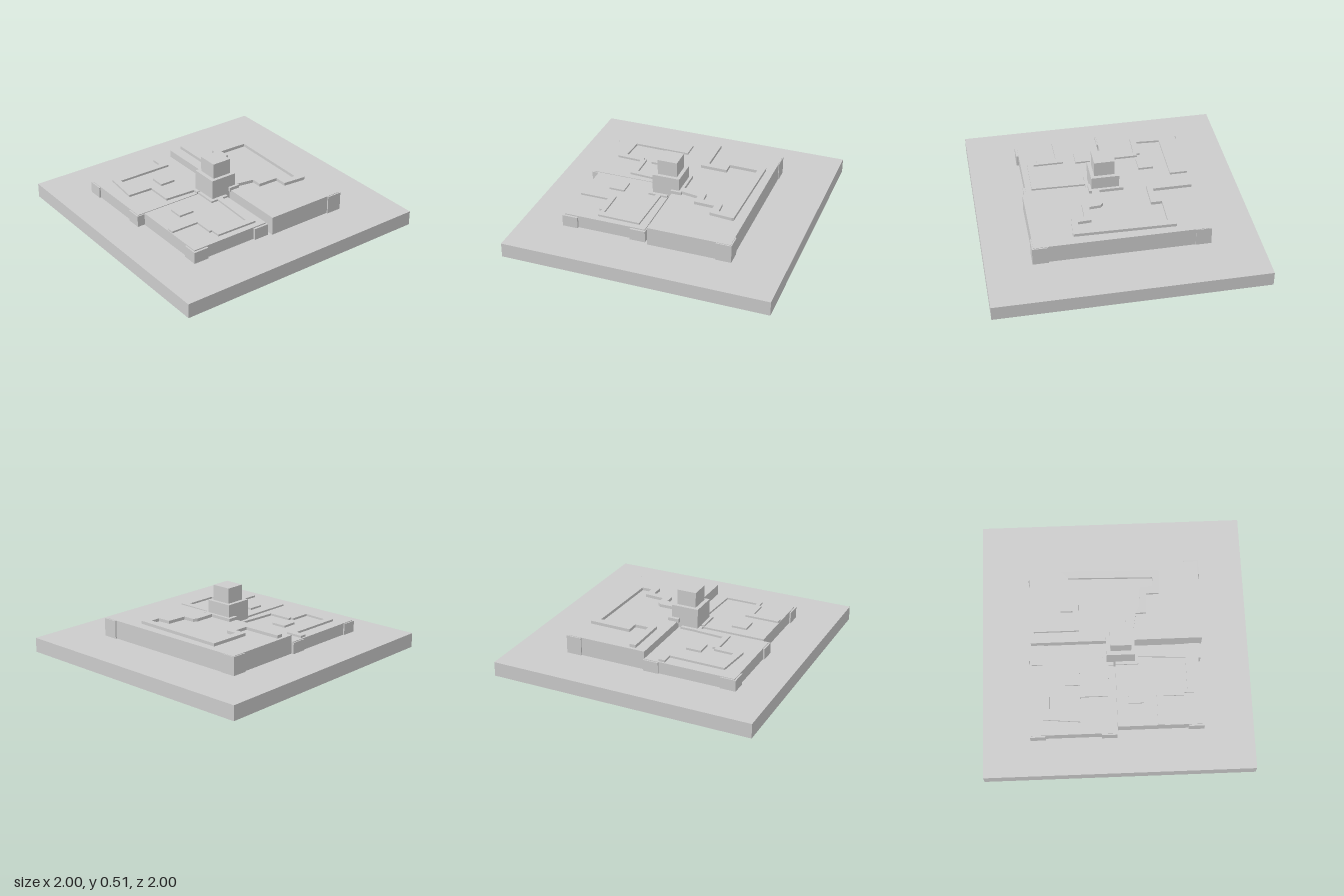
import * as THREE from 'three';

export function createModel() {
  const model = new THREE.Group();
  const material = new THREE.MeshStandardMaterial({ color: 0xcccccc, flatShading: true });

  // Box given by its limits on each axis
  function box(name, x0, x1, y0, y1, z0, z1) {
    const mesh = new THREE.Mesh(new THREE.BoxGeometry(x1 - x0, y1 - y0, z1 - z0), material);
    mesh.position.set((x0 + x1) / 2, (y0 + y1) / 2, (z0 + z1) / 2);
    mesh.name = name;
    model.add(mesh);
  }

  // Flat raised band from an outline of [x, z] points
  function band(name, y0, y1, outline) {
    const shape = new THREE.Shape(outline.map(([x, z]) => new THREE.Vector2(x, z)));
    const geometry = new THREE.ExtrudeGeometry(shape, { depth: y1 - y0, bevelEnabled: false });
    geometry.rotateX(Math.PI / 2).translate(0, y1, 0);
    const mesh = new THREE.Mesh(geometry, material);
    mesh.name = name;
    model.add(mesh);
  }

  // Square ground slab
  box('baseSlab', -1, 1, 0.03, 0.14, -1, 1);

  // Three platforms; the front two reach through the slab
  box('backPlatform', -0.63, 0.65, 0.1, 0.28, -0.6, 0.02);
  box('frontRightPlatform', -0.64, -0.02, 0, 0.23, 0.025, 0.72);
  box('frontLeftPlatform', -0.005, 0.615, 0, 0.236, 0.052, 0.675);

  // Corner posts: [x, z, bottom, top]
  const corners = [
    [-0.64, -0.605, 0.1, 0.277], [0.545, -0.61, 0.1, 0.277],
    [-0.65, 0.02, 0.015, 0.225], [-0.65, 0.615, 0.015, 0.225], [-0.125, 0.615, 0.015, 0.225],
    [0.517, 0.045, 0.015, 0.228], [0.517, 0.57, 0.015, 0.228],
  ];
  for (const [x, z, y0, y1] of corners) box('cornerPost', x, x + 0.115, y0, y1, z, z + 0.117);

  // Angular raised paths
  band('backPath', 0.27, 0.303, [
    [-0.605, -0.06], [-0.605, -0.11], [-0.31, -0.11], [-0.31, -0.217], [-0.4, -0.217],
    [-0.395, -0.54], [0.35, -0.525], [0.355, -0.51], [0.34, -0.34], [0.245, -0.34],
    [0.24, -0.185], [0.162, -0.185], [0.137, -0.04], [0.085, -0.04], [0.085, -0.21],
    [0.105, -0.235], [0.19, -0.24], [0.2, -0.39], [0.3, -0.395], [0.3, -0.47],
    [-0.34, -0.485], [-0.345, -0.267], [-0.263, -0.267], [-0.268, -0.06],
  ]);
  band('frontRightPath', 0.22, 0.246, [
    [-0.627, 0.13], [-0.495, 0.13], [-0.5, 0.56], [-0.32, 0.57], [-0.317, 0.42],
    [-0.29, 0.42], [-0.29, 0.395], [-0.113, 0.395], [-0.1, 0.18], [-0.055, 0.18],
    [-0.07, 0.44], [-0.27, 0.44], [-0.277, 0.63], [-0.55, 0.605], [-0.545, 0.18], [-0.627, 0.18],
  ]);
  band('frontLeftPath', 0.22, 0.25, [
    [0.14, 0.1], [0.57, 0.112], [0.565, 0.435], [0.49, 0.435], [0.49, 0.455], [0.34, 0.455],
    [0.34, 0.67], [0.29, 0.67], [0.29, 0.405], [0.518, 0.405], [0.518, 0.16], [0.14, 0.142],
  ]);

  // Small square studs
  box('frontRightStud', -0.385, -0.272, 0.22, 0.246, 0.23, 0.348);
  box('frontLeftStud', 0.08, 0.194, 0.22, 0.25, 0.385, 0.503);

  // Pads around the foot of the tower, one per platform
  box('backPad', -0.097, 0.16, 0.27, 0.303, -0.055, 0.03);
  box('frontRightPad', -0.097, -0.02, 0.22, 0.246, 0.05, 0.2);
  box('frontLeftPad', -0.005, 0.165, 0.22, 0.25, 0.055, 0.2);

  // Stepped central tower
  box('towerLower', -0.07, 0.14, 0.14, 0.398, -0.033, 0.176);
  box('towerUpper', -0.04, 0.113, 0.39, 0.515, -0.005, 0.145);

  return model;
}
